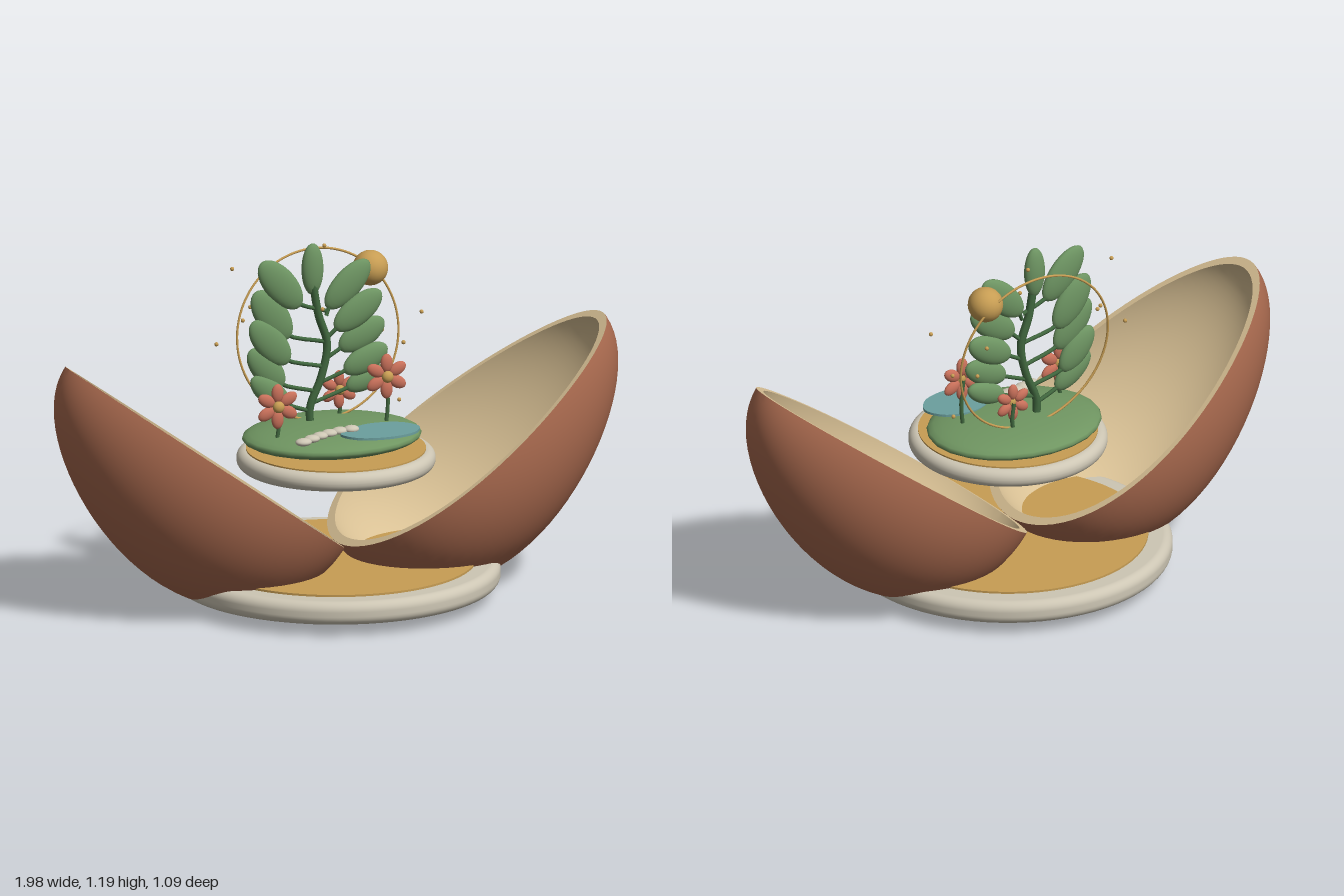
import * as THREE from 'three';

const mat = (name, color, side = THREE.FrontSide) => {
  const m = new THREE.MeshStandardMaterial({ color, side });
  m.name = name;
  return m;
};

export function createModel() {
  const M = {
    shell: mat('brown shell', 0xa8694e),
    lining: mat('cream lining', 0xd9c195),
    stone: mat('pale stone', 0xcdc6b4),
    gold: mat('gold', 0xc79d53),
    moss: mat('moss green', 0x6f9561),
    leaf: mat('leaf green', 0x6d9462),
    stem: mat('stem green', 0x41683f),
    water: mat('pond blue', 0x6b9f9e, THREE.DoubleSide),
    petal: mat('coral petal', 0xc8705a),
  };
  const root = new THREE.Group();
  root.name = 'eggGarden';

  const add = (parent, name, geo, material, pos = [0, 0, 0]) => {
    const mesh = new THREE.Mesh(geo, material);
    mesh.name = name;
    mesh.position.set(...pos);
    parent.add(mesh);
    return mesh;
  };
  const group = (name, parent = root) => {
    const g = new THREE.Group();
    g.name = name;
    parent.add(g);
    return g;
  };
  const blob = (parent, name, material, pos, radii, rotZ = 0) => {
    const mesh = add(parent, name, new THREE.SphereGeometry(1, 24, 16), material, pos);
    mesh.scale.set(...radii);
    mesh.rotation.z = rotZ;
    return mesh;
  };
  const tube = (parent, name, material, pts, r, seg = 12) =>
    add(parent, name, new THREE.TubeGeometry(
      new THREE.CatmullRomCurve3(pts.map(p => new THREE.Vector3(...p))), seg, r, 8), material);

  // Disc with rounded edges, from y0 to y1
  const roundedDisc = (parent, name, material, radius, y0, y1, e) => {
    const pts = [new THREE.Vector2(0, y0)];
    for (let i = 0; i <= 8; i++) {
      const a = -Math.PI / 2 + i / 8 * Math.PI / 2;
      pts.push(new THREE.Vector2(radius - e + e * Math.cos(a), y0 + e + e * Math.sin(a)));
    }
    for (let i = 0; i <= 8; i++) {
      const a = i / 8 * Math.PI / 2;
      pts.push(new THREE.Vector2(radius - e + e * Math.cos(a), y1 - e + e * Math.sin(a)));
    }
    pts.push(new THREE.Vector2(0, y1));
    return add(parent, name, new THREE.LatheGeometry(pts, 72), material);
  };

  // Egg halves: half lathes opened outwards about a hinge at the bottom
  const HALF = 0.587, WIDTH = 0.87;
  const profile = s => {
    const pts = [];
    for (let i = 0; i <= 40; i++) {
      const a = i / 40 * Math.PI, c = Math.cos(a);
      pts.push(new THREE.Vector2(
        Math.max(0, s * Math.sin(a) * (0.425 + 0.09 * c)), HALF * (1 - s * c)));
    }
    return pts;
  };
  const outer = profile(1), inner = profile(0.945);
  const mirrored = pts => [...pts, ...pts.slice(1, -1).reverse().map(p => new THREE.Vector2(-p.x, p.y))];
  const rimShape = new THREE.Shape(mirrored(outer));
  rimShape.holes.push(new THREE.Path(mirrored(inner)));
  const shellParts = [
    ['shellOutside', new THREE.LatheGeometry(outer, 40, 0, Math.PI), M.shell],
    ['shellLining', new THREE.LatheGeometry([...inner].reverse(), 40, 0, Math.PI), M.lining],
    ['shellRim', new THREE.ShapeGeometry(rimShape).rotateY(-Math.PI / 2), M.lining],
  ];
  for (const [name, turn] of [['leftShell', 0], ['rightShell', Math.PI]]) {
    const side = group(name);
    side.rotation.y = turn;
    const half = group('openedHalf', side);
    half.position.y = 0.19;
    half.rotation.z = -54 * Math.PI / 180;
    half.scale.z = WIDTH;
    for (const [n, geo, m] of shellParts) add(half, n, geo, m);
  }

  // Base and floating platform
  roundedDisc(root, 'base', M.stone, 0.545, 0.05, 0.13, 0.032);
  add(root, 'baseInlay', new THREE.CylinderGeometry(0.465, 0.465, 0.008, 72), M.gold, [0, 0.133, 0]);
  roundedDisc(root, 'platform', M.stone, 0.33, 0.447, 0.51, 0.03);
  add(root, 'platformInlay', new THREE.CylinderGeometry(0.298, 0.298, 0.008, 72), M.gold, [0, 0.511, 0]);

  // Garden mound, pond and stepping stones
  blob(root, 'mossMound', M.moss, [0, 0.547, -0.038], [0.305, 0.048, 0.25]);
  const pondShape = new THREE.Shape(new THREE.SplineCurve([
    [-0.14, 0.03], [-0.09, 0.085], [0, 0.075], [0.07, -0.01], [0.12, -0.095],
    [0.14, -0.01], [0.13, 0.07], [0.06, 0.09],
  ].map(() => new THREE.Vector2())).points.map((_, i) => {
    const a = i / 8 * Math.PI * 2;
    const r = [1, 1.02, 0.95, 0.78, 0.95, 1, 1, 1][i];
    return new THREE.Vector2(0.143 * r * Math.cos(a), 0.092 * r * Math.sin(a));
  }));
  const pondCurve = new THREE.CatmullRomCurve3(
    pondShape.getPoints().slice(0, 8).map(p => new THREE.Vector3(p.x, p.y, 0)), true);
  const pondGeo = new THREE.ExtrudeGeometry(
    new THREE.Shape(pondCurve.getPoints(48).map(p => new THREE.Vector2(p.x, p.y))),
    { depth: 0.008, bevelEnabled: false }).rotateX(-Math.PI / 2);
  add(root, 'pond', pondGeo, M.water, [0.105, 0.586, 0.12]);
  const stones = group('steppingStones');
  [[-0.167, 0.13], [-0.13, 0.112], [-0.095, 0.098], [-0.058, 0.088], [-0.02, 0.084], [0.02, 0.088]]
    .forEach(([x, z], i) => blob(stones, 'steppingStone', M.stone,
      [x, 0.583 + 0.003 * i, z], [0.028 - 0.001 * (i % 3), 0.013, 0.023]));

  // Plant: wavy stem, twigs and flattened leaves
  const plant = group('plant');
  tube(plant, 'mainStem', M.stem, [[-0.06, 0.57, -0.08], [-0.06, 0.64, -0.08], [-0.02, 0.74, -0.08],
    [0.0, 0.85, -0.08], [-0.03, 0.95, -0.08], [-0.05, 1.06, -0.08]], 0.014, 32);
  const stemX = y => -0.03 + 0.03 * Math.sin((y - 0.72) * 9);
  // x, y, half length, half width, angle of the long axis from horizontal in degrees
  const leaves = [
    [-0.05, 1.11, 0.088, 0.038, 90],
    [-0.168, 1.07, 0.108, 0.054, 130], [-0.195, 0.965, 0.105, 0.055, 125],
    [-0.205, 0.875, 0.1, 0.052, 130], [-0.215, 0.785, 0.09, 0.048, 130],
    [-0.205, 0.705, 0.085, 0.042, 140],
    [0.075, 1.045, 0.105, 0.05, 45], [0.108, 0.955, 0.1, 0.05, 35],
    [0.125, 0.868, 0.09, 0.048, 28], [0.135, 0.785, 0.085, 0.045, 25],
    [0.14, 0.715, 0.075, 0.038, 22],
  ];
  leaves.forEach(([x, y, l, w, deg], i) => {
    const a = deg * Math.PI / 180;
    const z = -0.08 + (i % 2 ? 0.005 : -0.005);
    blob(plant, 'leaf', M.leaf, [x, y, z], [l, w, 0.024], a);
    if (i === 0) return;
    const bx = x - l * 0.8 * Math.cos(a), by = y - l * 0.8 * Math.sin(a), sy = by - 0.04;
    tube(plant, 'twig', M.stem, [[stemX(sy), sy, -0.08], [bx, by, z], [x, y, z]], 0.007, 6);
  });

  // Flowers facing the front
  for (const [x, y, z, s] of [[-0.22, 0.685, 0.03, 1], [0.18, 0.74, 0, 1], [0.06, 0.675, -0.125, 0.85]]) {
    const flower = group('flower');
    flower.position.set(x, y, z);
    tube(flower, 'flowerStem', M.stem, [[0, 0, -0.008], [0.008, (0.56 - y) / 2, -0.008], [0, 0.56 - y, -0.008]], 0.007, 8);
    for (let k = 0; k < 6; k++) {
      const a = k / 6 * Math.PI * 2 + Math.PI / 6;
      blob(flower, 'petal', M.petal, [0.045 * s * Math.cos(a), 0.045 * s * Math.sin(a), 0],
        [0.032 * s, 0.021 * s, 0.013], a);
    }
    blob(flower, 'flowerCentre', M.gold, [0, 0, 0.01], [0.02 * s, 0.02 * s, 0.016]);
  }

  // Thin ring, orb and drifting sparks
  const ring = add(root, 'ring', new THREE.TorusGeometry(0.287, 0.004, 8, 96), M.gold, [0, 0.862, -0.163]);
  ring.rotation.x = -0.125;
  blob(root, 'orb', M.gold, [0.18, 1.075, -0.145], [0.059, 0.059, 0.059]);
  const sparks = group('sparks');
  for (const p of [[0.02, 1.165, -0.155], [-0.31, 1.12, -0.15], [0.31, 0.945, -0.013], [-0.37, 0.87, -0.14],
    [-0.28, 0.945, -0.13], [0.28, 0.82, -0.1], [0.245, 0.64, -0.05], [-0.05, 0.995, 0.005],
    [-0.23, 0.97, -0.19], [0.2, 0.935, -0.185], [0.24, 0.845, -0.19]])
    add(sparks, 'spark', new THREE.SphereGeometry(0.007, 10, 8), M.gold, p);

  return root;
}
